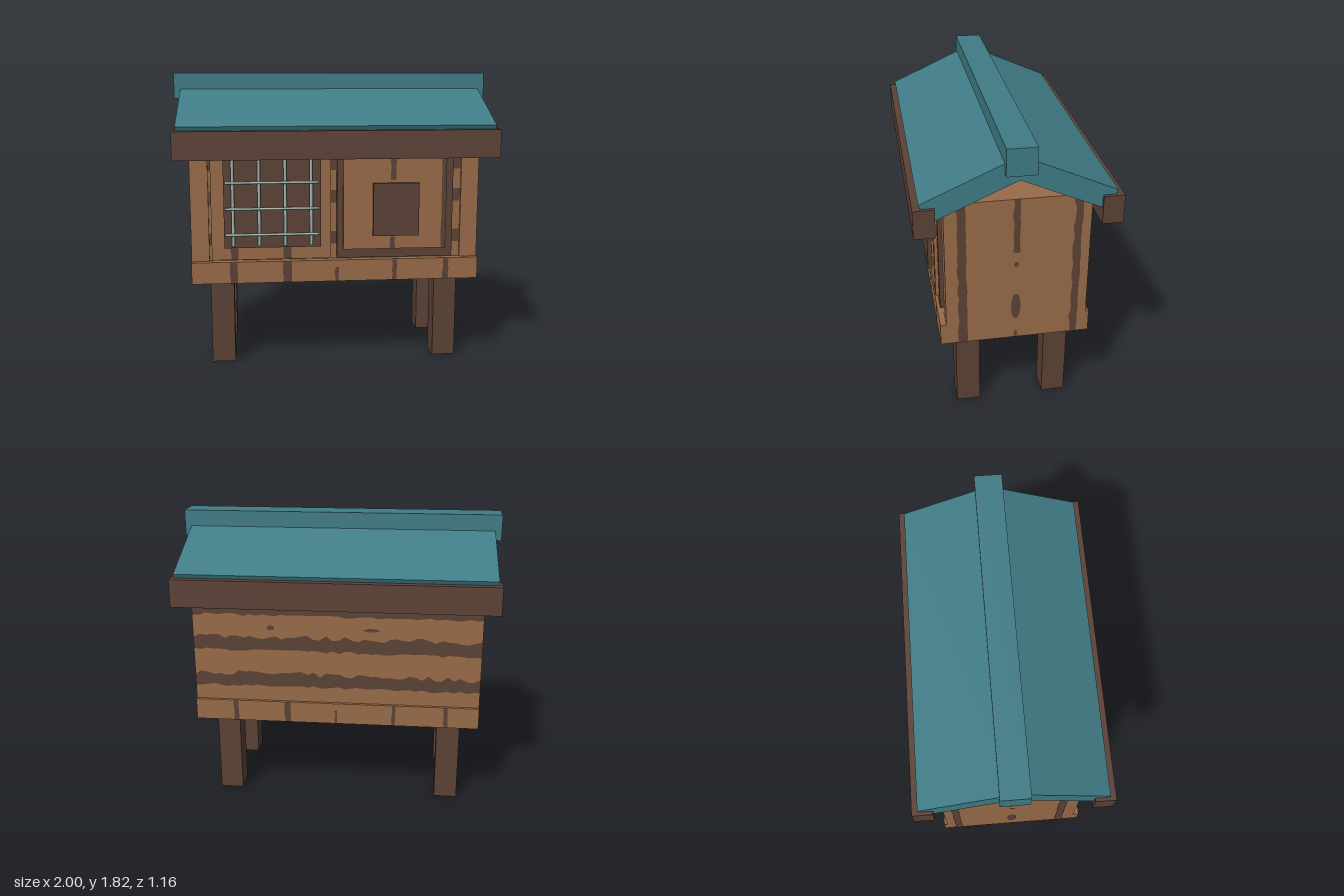
import * as THREE from 'three';

const mat = (name, color) => {
  const m = new THREE.MeshStandardMaterial({ color });
  m.name = name;
  return m;
};

export function createModel() {
  const wood = mat('warm wood', 0x996b48);
  const dark = mat('dark wood', 0x5c4236);
  const teal = mat('teal roof', 0x407c86);
  const metal = mat('pale metal', 0x9fb6ae);
  const root = new THREE.Group();
  root.name = 'hutch';

  const add = (name, geo, m) => {
    const mesh = new THREE.Mesh(geo, m);
    mesh.name = name;
    root.add(mesh);
    return mesh;
  };
  // Box given by its limits on each axis
  const box = (name, m, x0, x1, y0, y1, z0, z1) =>
    add(name, new THREE.BoxGeometry(x1 - x0, y1 - y0, z1 - z0), m)
      .position.set((x0 + x1) / 2, (y0 + y1) / 2, (z0 + z1) / 2);

  // Legs
  for (const sx of [-1, 1]) for (const sz of [-1, 1])
    box('leg', dark, sx * 0.7125 - 0.0725, sx * 0.7125 + 0.0725, 0, 0.56,
      sz * 0.2725 - 0.0725, sz * 0.2725 + 0.0725);

  // Cabin: floor tray, core, end walls and back planking
  box('floorTray', wood, -0.895, 0.895, 0.54, 0.675, -0.445, 0.445);
  box('cabinCore', wood, -0.786, 0.786, 0.67, 1.47, -0.406, 0.395);
  for (const s of [-1, 1])
    box('endWall', wood, s * 0.84 - 0.055, s * 0.84 + 0.055, 0.675, 1.47, -0.405, 0.41);
  box('backPlanking', wood, -0.895, 0.895, 0.675, 1.47, -0.425, -0.405);

  // Run door with window and wire bars
  box('runDoor', wood, -0.768, -0.035, 0.69, 1.42, 0.39, 0.447);
  box('runWindow', dark, -0.69, -0.1, 0.77, 1.345, 0.44, 0.473);
  for (let i = 0; i < 4; i++) {
    const bar = add('uprightBar', new THREE.CylinderGeometry(0.01, 0.01, 0.545, 10), metal);
    bar.position.set(-0.634 + i * 0.158, 1.06, 0.49);
  }
  for (let i = 0; i < 3; i++) {
    const bar = add('crossBar', new THREE.CylinderGeometry(0.008, 0.008, 0.565, 10), metal);
    bar.rotation.z = Math.PI / 2;
    bar.position.set(-0.397, 0.857 + i * 0.159, 0.503);
  }

  // Nest door with frame, panel and square plate
  box('nestDoorFrame', dark, 0.005, 0.73, 0.685, 1.42, 0.39, 0.428);
  box('nestDoorPanel', wood, 0.042, 0.685, 0.742, 1.38, 0.42, 0.447);
  box('nestDoorPlate', dark, 0.225, 0.51, 0.828, 1.157, 0.44, 0.473);

  // Roof: chevron slab, ridge cap and eave boards
  const chevron = new THREE.Shape([
    [0, 1.758], [-0.545, 1.515], [-0.493, 1.398], [0, 1.617], [0.493, 1.398], [0.545, 1.515],
  ].map(([z, y]) => new THREE.Vector2(z, y)));
  const roof = add('roofSlabs', new THREE.ExtrudeGeometry(chevron, { depth: 1.92, bevelEnabled: false }), teal);
  roof.rotation.y = Math.PI / 2;
  roof.position.x = -0.96;
  box('ridgeCap', teal, -1, 1, 1.66, 1.82, -0.085, 0.085);
  for (const s of [-1, 1])
    box('eaveBoard', dark, -0.98, 0.98, 1.32, 1.49, s * 0.52 - 0.06, s * 0.52 + 0.06);

  // Wood grain: flat wavy strips, laid on a face by rotation
  let seed = 7;
  const rand = () => (seed = (seed * 16807) % 2147483647) / 2147483647;
  const grain = (w, h, wave) => {
    const along = Math.max(w, h), across = Math.min(w, h);
    const n = Math.max(3, Math.ceil(along / 0.04));
    const a = [], b = [];
    for (let i = 0; i <= n; i++) {
      const t = (i / n - 0.5) * along;
      a.push([t, -across / 2 + (rand() - 0.5) * wave * 0.5]);
      b.unshift([t, across / 2 + (rand() - 0.5) * wave]);
    }
    return new THREE.ShapeGeometry(new THREE.Shape([...a, ...b].map(([t, c]) =>
      (w > h ? new THREE.Vector2(t, c) : new THREE.Vector2(-c, t)))));
  };
  const knot = (w, h) => new THREE.CircleGeometry(0.5, 10).scale(w, h, 1);
  const lay = (geo, x, y, z, ry, rx = 0) => {
    const m = add('woodGrain', geo, dark);
    m.position.set(x, y, z);
    m.rotation.set(rx, ry, 0);
  };

  // End wall grain
  for (const s of [-1, 1]) {
    const x = s * 0.898, ry = s * Math.PI / 2;
    lay(grain(0.05, 0.93, 0.012), x, 1.005, 0.312, ry);
    lay(grain(0.045, 0.93, 0.014), x, 1.005, -0.35, ry);
    lay(grain(0.036, 0.34, 0.01), x, 1.3, 0, ry);
    lay(knot(0.03, 0.036), x, 1.052, 0, ry);
    lay(knot(0.058, 0.18), x, 0.765, 0, ry);
    lay(knot(0.02, 0.05), x, 0.565, 0, ry);
  }

  // Back plank grain
  for (const [y, h] of [[0.815, 0.085], [1.055, 0.09], [1.28, 0.08]])
    lay(grain(1.785, h, 0.035), 0, y, -0.428, Math.PI);
  lay(knot(0.05, 0.03), 0.405, 1.16, -0.428, Math.PI);
  lay(knot(0.1, 0.022), -0.22, 1.16, -0.428, Math.PI);

  // Front wall grain showing beside the doors
  for (const y of [0.81, 1.07, 1.275])
    for (const [x, w] of [[-0.777, 0.016], [-0.015, 0.038], [0.757, 0.05]])
      lay(new THREE.PlaneGeometry(w, 0.08), x, y, 0.398, 0);

  // Floor tray grain, front, back and underneath
  for (const [x, w, h] of [[-0.637, 0.045, 0.13], [-0.305, 0.055, 0.13], [0.003, 0.022, 0.09],
    [0.365, 0.03, 0.13], [0.69, 0.035, 0.13]]) {
    lay(grain(w, h, 0.01), x, 0.542 + h / 2, 0.448, 0);
    lay(grain(w * 0.7, h, 0.008), -x, 0.542 + h / 2, -0.448, Math.PI);
  }
  for (const x of [-0.62, -0.29, 0.36, 0.68])
    lay(grain(0.04, 0.87, 0.012), x, 0.537, 0, 0, Math.PI / 2);

  // Door grain
  lay(grain(0.045, 0.075, 0.008), -0.63, 0.73, 0.45, 0);
  lay(grain(0.05, 0.075, 0.008), -0.305, 0.73, 0.45, 0);
  lay(grain(0.035, 0.2, 0.01), 0.35, 1.275, 0.45, 0);
  lay(grain(0.03, 0.075, 0.01), 0.35, 0.782, 0.45, 0);
  lay(grain(0.028, 0.636, 0.005), 0.669, 1.061, 0.45, 0);

  return root;
}
